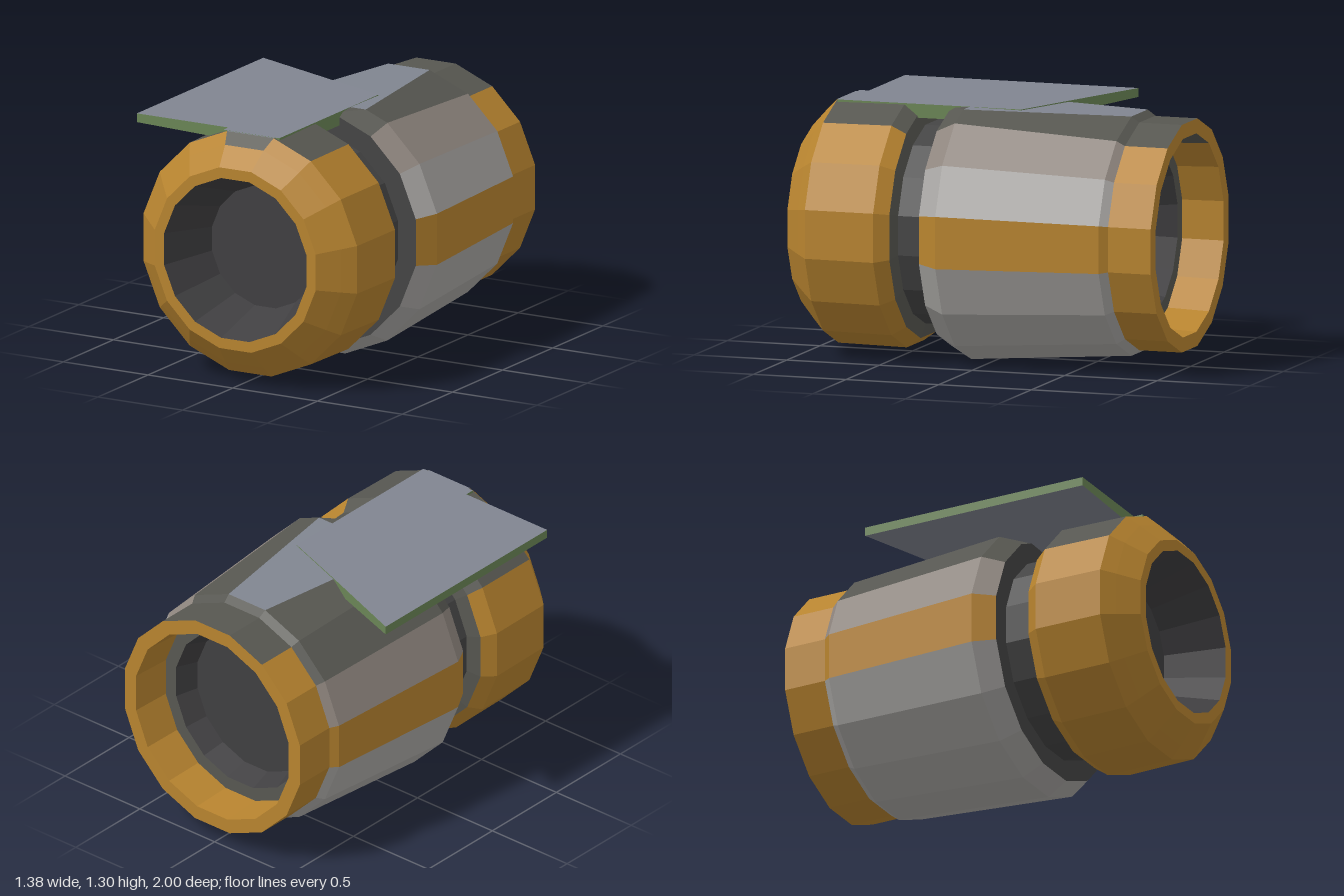
import * as THREE from 'three';

const SIDES = 16, STEP = (Math.PI * 2) / SIDES;
const CX = 0.015, CY = 0.675, TOP = 1.3; // tube axis and height of the flat cut on top

const COLORS = { ochre: 0xb8842f, steel: 0xaaa8a5, warm: 0x8f867f, dark: 0x575751, groove: 0x454545, bore: 0x403f41, flat: 0x808590, green: 0x6a8555 };
const materials = {};
for (const [name, color] of Object.entries(COLORS)) {
  materials[name] = new THREE.MeshStandardMaterial({ color, flatShading: true });
}

// Corner i of the 16-sided section, flats facing the axes, cut level at TOP
function corner(i, z, apothem) {
  const r = apothem / Math.cos(STEP / 2);
  const at = (j) => [CX + r * Math.cos((j - 0.5) * STEP), CY + r * Math.sin((j - 0.5) * STEP)];
  let [x, y] = at(i);
  if (y > TOP) {
    const [nx, ny] = at(i === 4 ? 3 : 6);
    const t = (TOP - ny) / (y - ny);
    x = nx + (x - nx) * t;
    y = TOP;
  }
  return [x, y, z];
}

// Faceted shell through [z, apothem] rings; panel k is centred at k * 22.5 degrees from +x
function shell(name, profile, paint) {
  const group = new THREE.Group();
  group.name = name;
  const byColor = {};
  for (let s = 0; s < profile.length - 1; s++) {
    for (let k = 0; k < SIDES; k++) {
      const a = corner(k, ...profile[s]), b = corner(k + 1, ...profile[s]);
      const c = corner(k + 1, ...profile[s + 1]), d = corner(k, ...profile[s + 1]);
      const list = (byColor[paint(k, s)] ??= []);
      if (profile[s + 1][1] > 0) list.push(...a, ...d, ...c);
      if (profile[s][1] > 0) list.push(...a, ...c, ...b);
    }
  }
  for (const [color, list] of Object.entries(byColor)) {
    const geo = new THREE.BufferGeometry();
    geo.setAttribute('position', new THREE.Float32BufferAttribute(list, 3));
    geo.computeVertexNormals();
    const mesh = new THREE.Mesh(geo, materials[color]);
    mesh.name = `${name} ${color} panels`;
    group.add(mesh);
  }
  return group;
}

// Flat plate lying along the top, its underside sloping down towards +x
function topPlate() {
  const outline = [[-0.69, -0.47], [-0.18, -0.28], [0.18, -0.15], [0.18, 0.84], [-0.15, 0.84], [-0.15, 0.79], [-0.69, 0.79]];
  const shape = new THREE.Shape(outline.map(([x, z]) => new THREE.Vector2(x, -z)));
  const geo = new THREE.ExtrudeGeometry(shape, { depth: 1, bevelEnabled: false });
  geo.rotateX(-Math.PI / 2);
  const pos = geo.attributes.position;
  for (let i = 0; i < pos.count; i++) {
    const under = 1.255 - 0.029 * (pos.getX(i) + 0.69);
    pos.setY(i, pos.getY(i) > 0.5 ? TOP + 0.001 : under);
  }
  geo.computeVertexNormals();
  const mesh = new THREE.Mesh(geo, [materials.flat, materials.green]);
  mesh.name = 'top plate';
  return mesh;
}

export function createModel() {
  const model = new THREE.Group();
  model.name = 'faceted tube';

  // Tapered recess in the front end
  model.add(shell('front bore', [[0.7, 0], [0.7, 0.315], [1, 0.42]], () => 'bore'));

  // Front collar: rim, chamfer, band and rear chamfer
  model.add(shell('front collar',
    [[1, 0.42], [1, 0.475], [0.91, 0.57], [0.85, 0.63], [0.48, 0.635], [0.41, 0.585], [0.39, 0.51]],
    (k, s) => {
      if (s === 2 && k === 4) return 'dark';
      if (s === 3 && k === 4) return 'flat';
      if (s >= 3 && k >= 3 && k <= 6) return 'dark';
      return s === 5 ? 'dark' : 'ochre';
    }));

  // Narrow neck between collar and barrel
  model.add(shell('neck', [[0.39, 0.51], [0.24, 0.51], [0.24, 0.615]], () => 'groove'));

  // Main barrel, tapering to the back, with an ochre stripe on each side
  model.add(shell('barrel',
    [[0.24, 0.615], [0.13, 0.675], [-0.73, 0.615], [-0.77, 0.585]],
    (k, s) => {
      if (k === 0 || k === 8) return 'ochre';
      if (k === 4) return s === 1 ? 'flat' : 'dark';
      if (k === 3 || k === 5 || k === 6) return 'dark';
      return k === 2 || k === 7 ? 'warm' : 'steel';
    }));

  // Rear collar with its rim and inner wall
  model.add(shell('rear collar',
    [[-0.77, 0.585], [-1, 0.585], [-1, 0.51], [-0.78, 0.5]],
    (k, s) => (s !== 1 && k >= 3 && k <= 5 ? 'dark' : 'ochre')));

  // Stepped recess in the back end
  model.add(shell('rear bore',
    [[-0.78, 0.5], [-0.78, 0.43], [-0.66, 0.39], [-0.66, 0]],
    (k, s) => (s === 0 ? 'dark' : 'bore')));

  model.add(topPlate());
  return model;
}
